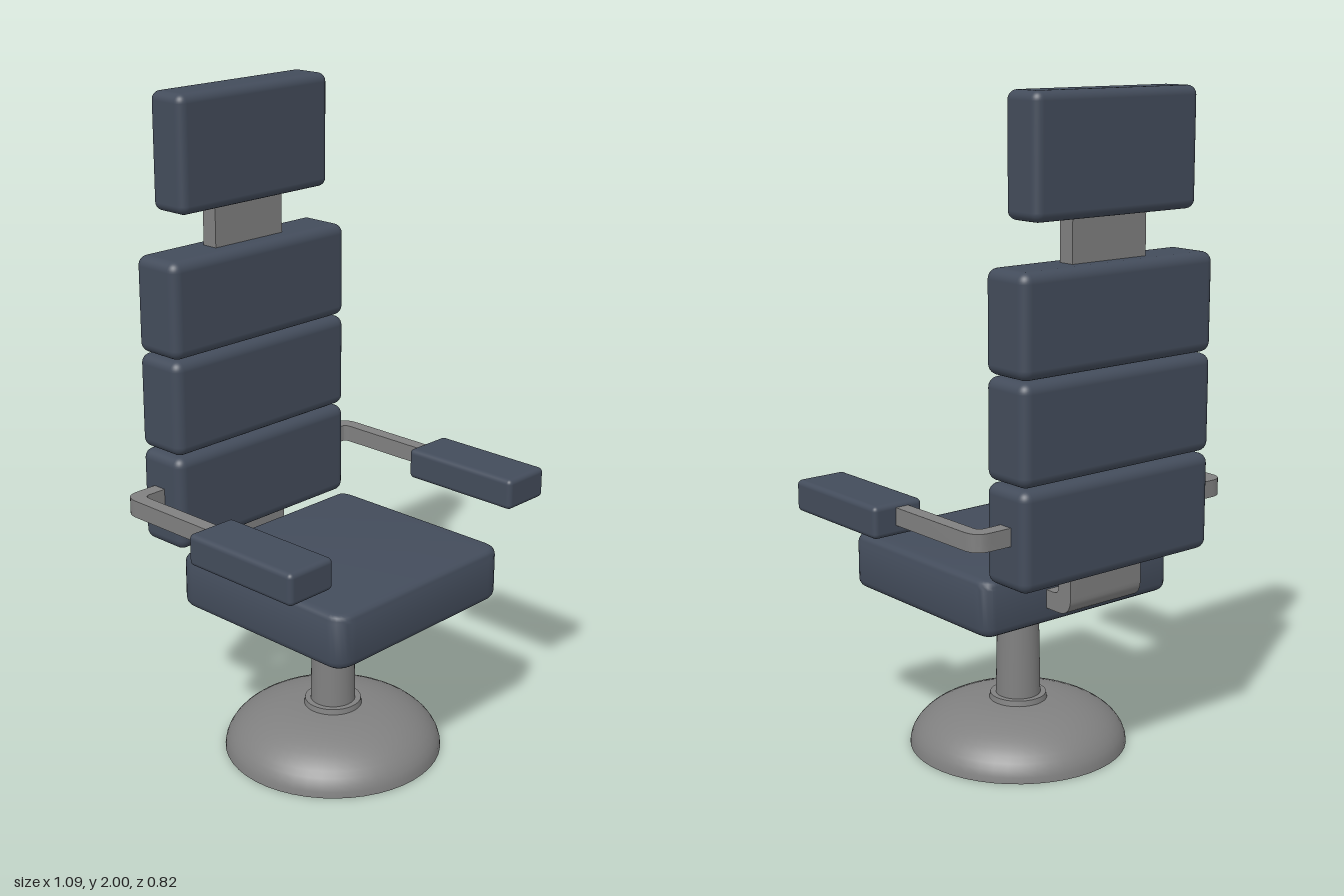
import * as THREE from 'three';
import { RoundedBoxGeometry } from 'three/addons/geometries/RoundedBoxGeometry.js';
import { toCreasedNormals } from 'three/addons/utils/BufferGeometryUtils.js';

const metal = new THREE.MeshStandardMaterial({ color: 0x808080 });
const padding = new THREE.MeshStandardMaterial({ color: 0x434c5b });

export function createModel() {
  const chair = new THREE.Group();
  chair.name = 'swivelChair';

  const add = (name, geometry, material, x = 0, y = 0, z = 0) => {
    const mesh = new THREE.Mesh(geometry, material);
    mesh.name = name;
    mesh.position.set(x, y, z);
    chair.add(mesh);
  };

  // Padded block given by its width and its y and z extents
  const cushion = (name, width, y0, y1, z0, z1, radius, x = 0) =>
    add(name, new RoundedBoxGeometry(width, y1 - y0, z1 - z0, 4, radius), padding,
      x, (y0 + y1) / 2, (z0 + z1) / 2);

  // Seat: plan outline with rounded corners, softly bevelled top and bottom
  const bevel = 0.025, w = 0.354 - bevel, front = 0.408 - bevel, back = -0.248 + bevel;
  const plan = new THREE.Shape();
  plan.moveTo(-w + 0.015, back);
  plan.lineTo(w - 0.015, back);
  plan.quadraticCurveTo(w, back, w, back + 0.03);
  plan.lineTo(w, front - 0.03);
  plan.quadraticCurveTo(w, front, w - 0.04, front);
  plan.lineTo(-w + 0.04, front);
  plan.quadraticCurveTo(-w, front, -w, front - 0.03);
  plan.lineTo(-w, back + 0.03);
  plan.quadraticCurveTo(-w, back, -w + 0.015, back);
  const seat = new THREE.ExtrudeGeometry(plan, {
    depth: 0.166 - 2 * bevel, bevelSize: bevel, bevelThickness: bevel, bevelSegments: 4, curveSegments: 6,
  }).rotateX(Math.PI / 2);
  add('seat', toCreasedNormals(seat, 0.7), padding, 0, 0.656 - bevel, 0);

  // Three stacked back cushions and the headrest
  [0.66, 0.955, 1.248].forEach((y, i) =>
    cushion('backCushion' + (i + 1), 0.704, y, y + 0.289, -0.41, -0.24, 0.03));
  cushion('headrest', 0.59, 1.66, 2, -0.392, -0.258, 0.026);

  // Flat spine: bends up from the seat, runs inside the back and holds the headrest
  const spine = new THREE.Shape();
  spine.moveTo(0.2, 0.54);
  spine.lineTo(0.3, 0.54);
  spine.quadraticCurveTo(0.352, 0.54, 0.352, 0.592);
  spine.lineTo(0.352, 1.75);
  spine.lineTo(0.3, 1.75);
  spine.lineTo(0.3, 0.615);
  spine.quadraticCurveTo(0.3, 0.595, 0.28, 0.595);
  spine.lineTo(0.2, 0.595);
  const spineGeometry = new THREE.ExtrudeGeometry(spine, { depth: 0.27, bevelEnabled: false, curveSegments: 8 })
    .translate(0, 0, -0.135).rotateY(Math.PI / 2);
  add('spine', toCreasedNormals(spineGeometry, 0.7), metal);

  // Bent arm bars with padded armrests
  for (const [side, s] of [['left', 1], ['right', -1]]) {
    const bar = new THREE.Shape();
    bar.moveTo(s * 0.3, -0.354);
    bar.lineTo(s * 0.42, -0.354);
    bar.quadraticCurveTo(s * 0.472, -0.354, s * 0.472, -0.3);
    bar.lineTo(s * 0.472, 0.06);
    bar.lineTo(s * 0.429, 0.06);
    bar.lineTo(s * 0.429, -0.29);
    bar.quadraticCurveTo(s * 0.429, -0.31, s * 0.41, -0.31);
    bar.lineTo(s * 0.3, -0.31);
    const barGeometry = new THREE.ExtrudeGeometry(bar, { depth: 0.052, bevelEnabled: false, curveSegments: 8 })
      .rotateX(Math.PI / 2);
    add(side + 'ArmBar', toCreasedNormals(barGeometry, 0.7), metal, 0, 0.843, 0);
    cushion(side + 'Armrest', 0.165, 0.76, 0.855, 0.008, 0.408, 0.015, s * 0.463);
  }

  // Pedestal: domed foot, collar and tapered post on one axis
  const axis = [-0.01, 0.054];
  const profile = [new THREE.Vector2(0, 0)];
  for (let i = 0; i <= 12; i++) {
    const a = (i / 12) * Math.PI / 2;
    profile.push(new THREE.Vector2(0.08 + 0.254 * Math.cos(a), 0.141 * Math.sin(a)));
  }
  profile.push(new THREE.Vector2(0, 0.141));
  add('footDome', toCreasedNormals(new THREE.LatheGeometry(profile, 48), 0.7), metal, axis[0], 0, axis[1]);
  add('collar', new THREE.CylinderGeometry(0.086, 0.09, 0.025, 40), metal, axis[0], 0.145, axis[1]);
  add('post', new THREE.CylinderGeometry(0.062, 0.069, 0.38, 40), metal, axis[0], 0.33, axis[1]);

  return chair;
}
